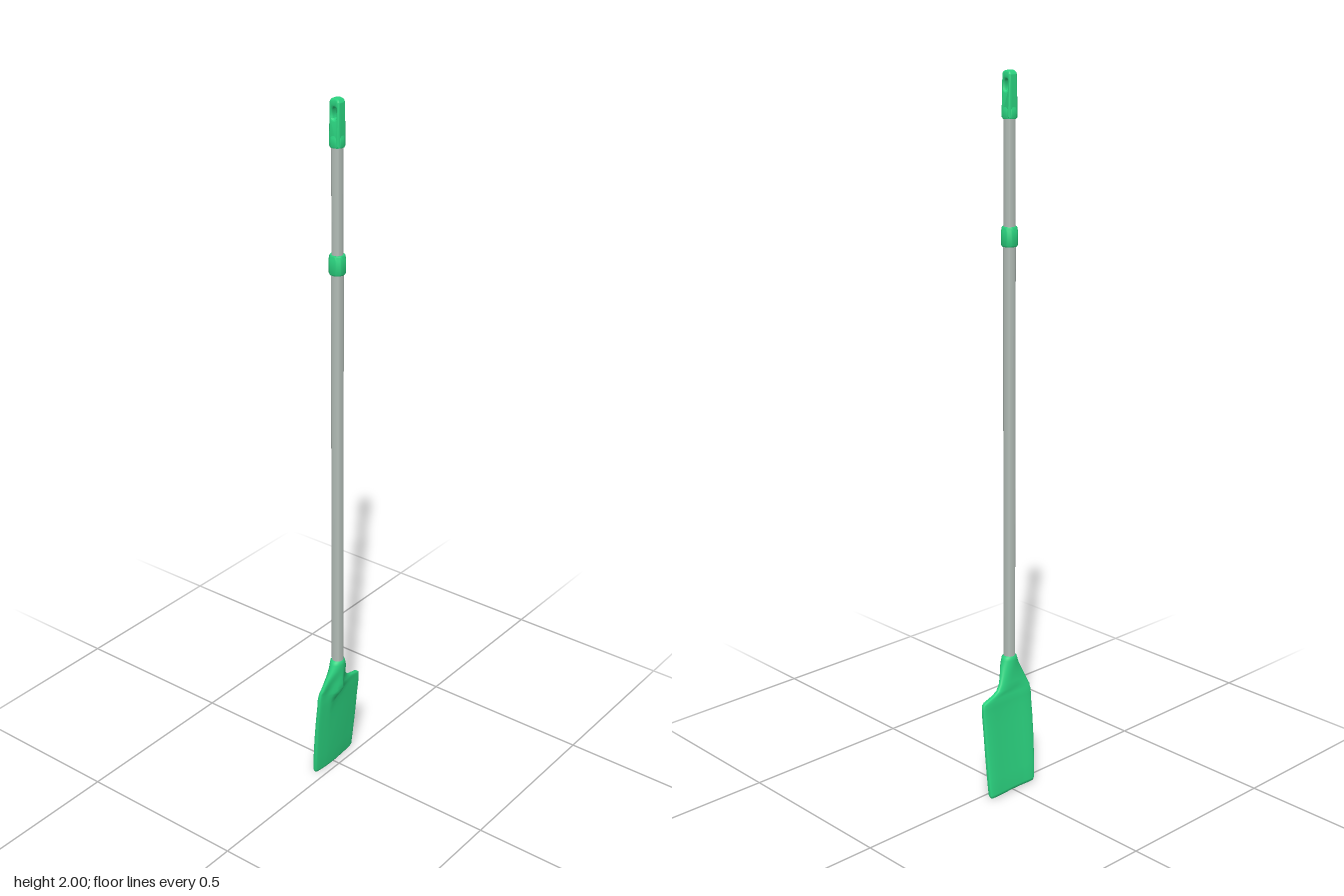
import * as THREE from 'three';
import { toCreasedNormals } from 'three/addons/utils/BufferGeometryUtils.js';

const AXIS_X = -0.03, AXIS_Z = 0.018;
const green = new THREE.MeshStandardMaterial({ color: 0x2bd480 });
const metal = new THREE.MeshStandardMaterial({ color: 0xb4beb8 });

function add(group, name, geometry, material) {
  const mesh = new THREE.Mesh(geometry, material);
  mesh.name = name;
  group.add(mesh);
  return mesh;
}

// Turned part around the shaft axis, from [radius, y] pairs going upwards
function turned(group, name, profile, material) {
  const points = profile.map(([r, y]) => new THREE.Vector2(r, y));
  const geometry = toCreasedNormals(new THREE.LatheGeometry(points, 32), 0.6);
  add(group, name, geometry, material).position.set(AXIS_X, 0, AXIS_Z);
}

// Blade and socket lofted from rows: y, left x, right x, middle z, half thickness, squareness, socket bulge
function bladeGeometry() {
  const rows = [
    [0.000, -0.070, 0.080, -0.027, 0.001, 5, 0],
    [0.003, -0.077, 0.086, -0.027, 0.006, 5, 0],
    [0.012, -0.082, 0.090, -0.026, 0.009, 5, 0],
    [0.060, -0.086, 0.091, -0.021, 0.009, 5, 0],
    [0.130, -0.091, 0.091, -0.013, 0.009, 5, 0],
    [0.200, -0.093, 0.091, -0.006, 0.008, 5, 0],
    [0.245, -0.093, 0.091, -0.001, 0.008, 5, 0.003],
    [0.265, -0.093, 0.091, 0.000, 0.008, 5, 0.012],
    [0.278, -0.092, 0.090, 0.001, 0.008, 5, 0.022],
    [0.284, -0.091, 0.083, 0.002, 0.008, 4.5, 0.024],
    [0.293, -0.090, 0.050, 0.003, 0.008, 4, 0.025],
    [0.302, -0.086, 0.031, 0.004, 0.009, 3.5, 0.024],
    [0.318, -0.080, 0.018, 0.007, 0.010, 3, 0.020],
    [0.340, -0.071, 0.009, 0.012, 0.014, 2.4, 0.010],
    [0.362, -0.062, 0.002, 0.017, 0.019, 2, 0.001],
    [0.380, -0.055, -0.005, 0.018, 0.020, 2, 0],
    [0.389, -0.052, -0.008, 0.018, 0.019, 2, 0],
    [0.393, -0.045, -0.015, 0.018, 0.015, 2, 0],
  ];
  const N = 56, position = [], index = [];
  const power = (v, n) => Math.sign(v) * Math.abs(v) ** (2 / n);
  rows.forEach(([y, xl, xr, zc, t, n, bulge], i) => {
    for (let j = 0; j < N; j++) {
      const a = (j / N) * Math.PI * 2, s = Math.sin(a);
      const x = (xl + xr) / 2 + ((xr - xl) / 2) * power(Math.cos(a), n);
      const swell = s > 0 ? bulge * Math.exp(-(((x - AXIS_X) / 0.02) ** 2)) * Math.min(1, s * 1.5) : 0;
      // Slight cupping of the blade below the socket
      const cup = y < 0.3 ? 0.002 * Math.cos((x + 0.01) * 35) : 0;
      position.push(x, y, zc + cup + t * power(s, n) + swell);
      if (i < rows.length - 1) {
        const p = i * N + j, q = i * N + ((j + 1) % N);
        index.push(p, p + N, q, q, p + N, q + N);
      }
    }
  });
  const geometry = new THREE.BufferGeometry();
  geometry.setAttribute('position', new THREE.Float32BufferAttribute(position, 3));
  geometry.setIndex(index);
  geometry.computeVertexNormals();
  return geometry;
}

// Flat hanging tongue with a slot, tapering towards its rounded tip
function tongueGeometry() {
  const w = 0.016, tip = 0.12;
  const shape = new THREE.Shape();
  shape.moveTo(-w, 0);
  shape.lineTo(w, 0);
  shape.lineTo(w, tip - 0.014);
  shape.quadraticCurveTo(w, tip, 0, tip);
  shape.quadraticCurveTo(-w, tip, -w, tip - 0.014);
  shape.closePath();
  const slot = new THREE.Path();
  slot.absarc(0, 0.092, 0.006, 0, Math.PI);
  slot.absarc(0, 0.074, 0.006, Math.PI, Math.PI * 2);
  slot.closePath();
  shape.holes.push(slot);
  const geometry = new THREE.ExtrudeGeometry(shape, {
    depth: 0.012, bevelSize: 0.005, bevelThickness: 0.006, bevelOffset: -0.005, bevelSegments: 4, curveSegments: 12,
  });
  geometry.translate(0, 0, -0.006);
  geometry.rotateY(Math.PI / 2);
  const p = geometry.attributes.position;
  for (let i = 0; i < p.count; i++) p.setX(i, p.getX(i) * (1.4 - 0.3 * (p.getY(i) / tip)));
  return toCreasedNormals(geometry, 0.7);
}

export function createModel() {
  const group = new THREE.Group();
  group.name = 'paddle';

  add(group, 'blade', bladeGeometry(), green);

  turned(group, 'shaft', [[0, 0.34], [0.0165, 0.34], [0.0165, 1.57], [0.015, 1.57], [0.015, 1.89], [0, 1.89]], metal);

  turned(group, 'collar', [
    [0.015, 1.549], [0.020, 1.549], [0.022, 1.553], [0.022, 1.590], [0.0205, 1.598], [0.019, 1.601], [0.014, 1.601],
  ], green);

  turned(group, 'endCap', [
    [0.014, 1.878], [0.018, 1.878], [0.019, 1.881], [0.0185, 1.902], [0.0165, 1.908], [0, 1.908],
  ], green);

  add(group, 'hangingTongue', tongueGeometry(), green).position.set(AXIS_X, 1.88, AXIS_Z);

  return group;
}
